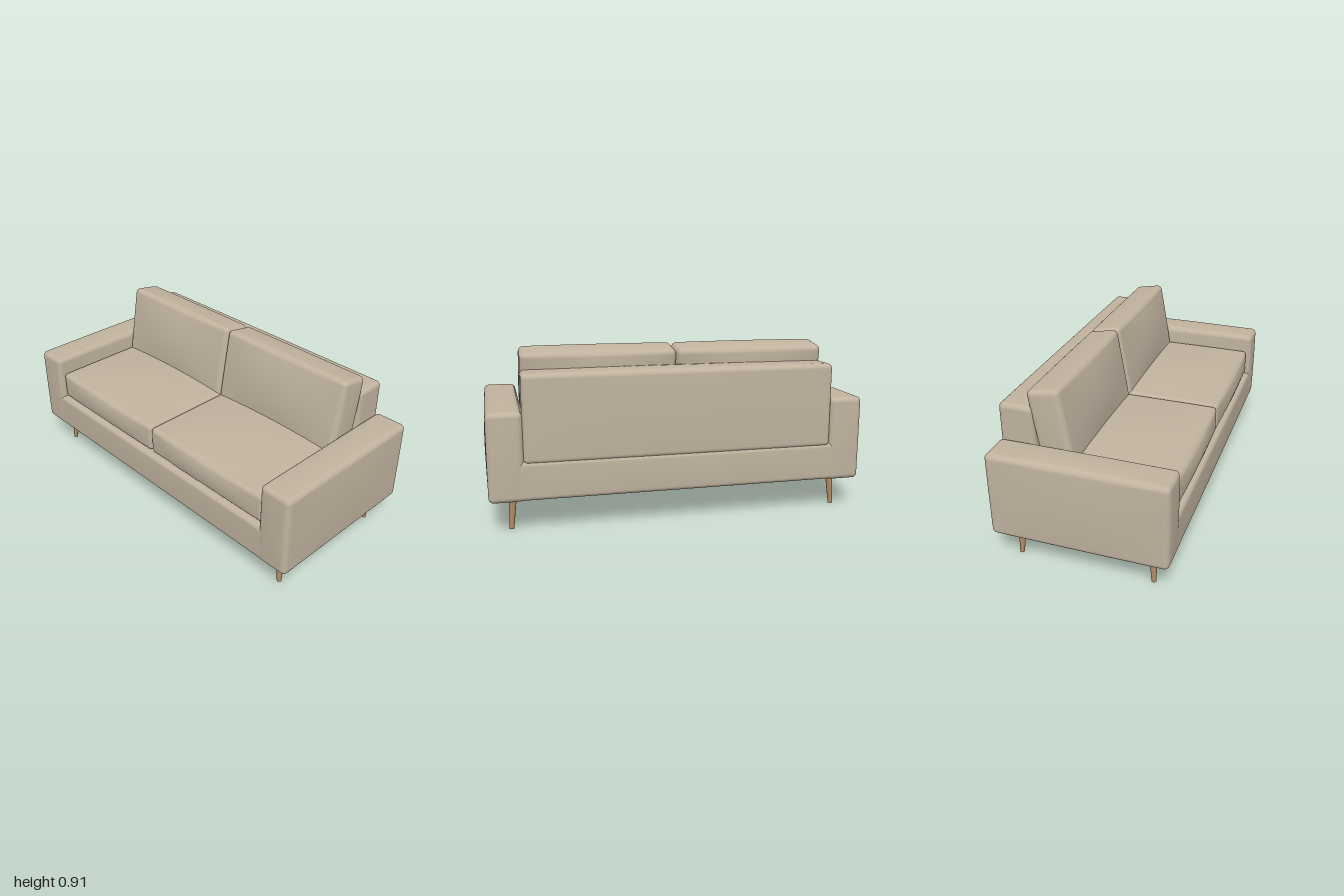
import * as THREE from 'three';
import { mergeVertices } from 'three/addons/utils/BufferGeometryUtils.js';

const EDGE = 4, FACE = 12; // segments across a rounded edge and across a face

// Upholstered block: rounded box whose faces swell by bulge [x, y, z]
function padded(w, h, d, r, bulge) {
  const n = EDGE * 2 + FACE;
  let geo = new THREE.BoxGeometry(2, 2, 2, n, n, n);
  geo.deleteAttribute('normal');
  geo.deleteAttribute('uv');
  geo = mergeVertices(geo, 1e-4);
  const half = [w / 2, h / 2, d / 2];
  const pos = geo.attributes.position;
  const p = new THREE.Vector3(), core = new THREE.Vector3(), dir = new THREE.Vector3();

  // Spread grid lines so that EDGE of them fall inside each rounded edge
  const remap = (v, size) => {
    const i = Math.round((v + 1) / 2 * n), inner = size - r;
    const arc = k => r * Math.tan(k / EDGE * Math.PI / 4);
    if (i < EDGE) return -inner - arc(EDGE - i);
    if (i > n - EDGE) return inner + arc(i - n + EDGE);
    return -inner + (i - EDGE) / FACE * 2 * inner;
  };

  for (let i = 0; i < pos.count; i++) {
    p.fromBufferAttribute(pos, i);
    p.set(remap(p.x, half[0]), remap(p.y, half[1]), remap(p.z, half[2]));
    core.set(...half.map((s, a) => THREE.MathUtils.clamp(p.getComponent(a), r - s, s - r)));
    dir.subVectors(p, core).normalize();
    p.copy(core).addScaledVector(dir, r);
    const fall = half.map((s, a) => Math.max(0, 1 - (p.getComponent(a) / s) ** 2));
    for (let a = 0; a < 3; a++) {
      const swell = bulge[a] * fall[(a + 1) % 3] * fall[(a + 2) % 3];
      p.setComponent(a, p.getComponent(a) + dir.getComponent(a) * swell);
    }
    pos.setXYZ(i, p.x, p.y, p.z);
  }
  geo.computeVertexNormals();
  return geo;
}

export function createModel() {
  const sofa = new THREE.Group();
  sofa.name = 'sofa';
  const fabric = new THREE.MeshStandardMaterial({ color: 0xc0b29e });
  fabric.name = 'beige fabric';
  const wood = new THREE.MeshStandardMaterial({ color: 0xb08a62 });
  wood.name = 'light wood';

  const add = (name, geo, material, x, y, z) => {
    const mesh = new THREE.Mesh(geo, material);
    mesh.name = name;
    mesh.position.set(x, y, z);
    sofa.add(mesh);
    return mesh;
  };

  // Frame: base and low backrest
  add('base', padded(1.9, 0.2, 0.91, 0.022, [0, 0.004, 0.004]), fabric, 0, 0.27, 0);
  add('backrest', padded(1.63, 0.45, 0.182, 0.026, [0, 0.007, 0.006]), fabric, 0, 0.58, -0.364);

  for (const side of [1, -1]) {
    const label = side > 0 ? 'left' : 'right';
    add(label + 'Arm', padded(0.178, 0.454, 0.91, 0.026, [0.009, 0.009, 0.006]),
      fabric, side * 0.902, 0.393, 0);

    // Seat and back cushions
    add(label + 'SeatCushion', padded(0.808, 0.155, 0.72, 0.022, [0.003, 0.026, 0.016]),
      fabric, side * 0.406, 0.451, 0.072);
    const back = add(label + 'BackCushion', padded(0.806, 0.42, 0.168, 0.026, [0.006, 0.006, 0.024]),
      fabric, side * 0.406, 0.692, -0.19);
    back.rotation.x = -0.17;

    // Splayed tapered legs
    for (const end of [1, -1]) {
      const leg = new THREE.CylinderGeometry(0.021, 0.012, 0.18, 20);
      const pos = leg.attributes.position;
      for (let i = 0; i < pos.count; i++) {
        const drop = (0.09 - pos.getY(i)) / 0.18;
        pos.setX(i, pos.getX(i) + side * 0.012 * drop);
        pos.setZ(i, pos.getZ(i) + end * 0.01 * drop);
      }
      leg.computeVertexNormals();
      add(label + (end > 0 ? 'FrontLeg' : 'BackLeg'), leg, wood, side * 0.871, 0.09, end * 0.344);
    }
  }
  return sofa;
}
